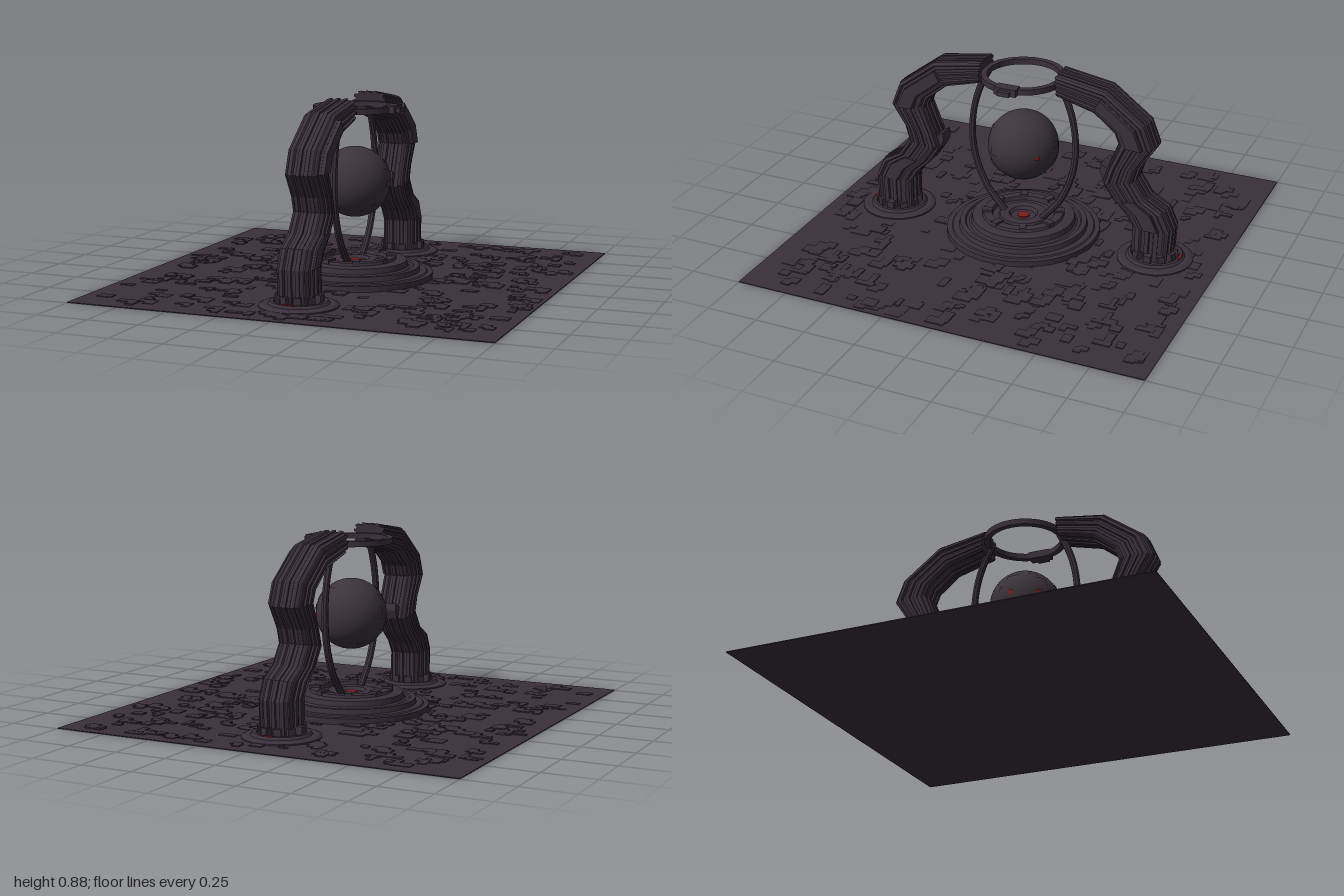
import * as THREE from 'three';
import { mergeGeometries } from 'three/addons/utils/BufferGeometryUtils.js';

const mat = (name, color, extra = {}) => {
  const m = new THREE.MeshStandardMaterial({ color, ...extra });
  m.name = name;
  return m;
};

function rng(seed) {
  return () => (seed = (seed * 16807) % 2147483647) / 2147483647;
}

// Arm cross-sections from foot to tip: outer z, y, inner z, y
const ARM = [
  [0.77, 0.0, 0.58, 0.0], [0.78, 0.18, 0.58, 0.18], [0.74, 0.27, 0.545, 0.235],
  [0.65, 0.32, 0.48, 0.3], [0.59, 0.41, 0.425, 0.38], [0.61, 0.48, 0.45, 0.46],
  [0.68, 0.585, 0.5, 0.59], [0.635, 0.7, 0.48, 0.64], [0.44, 0.845, 0.38, 0.72], [0.19, 0.885, 0.2, 0.77],
];

// Sweep a profile [x, t] (t: 0 outer side, 1 inner side) through cross-sections
function loft(sections, profile, s) {
  const pos = [], n = profile.length;
  const at = (i, j) => {
    const [oz, oy, iz, iy] = sections[i], [x, t] = profile[j % n];
    return [x, oy + (iy - oy) * t, s * (oz + (iz - oz) * t)];
  };
  const middle = (i) => {
    const [oz, oy, iz, iy] = sections[i];
    const x = profile.reduce((a, p) => a + p[0], 0) / n;
    return [x, (oy + iy) / 2, s * (oz + iz) / 2];
  };
  const tri = (a, b, c) => (s > 0 ? pos.push(...a, ...b, ...c) : pos.push(...a, ...c, ...b));
  const last = sections.length - 1;
  for (let j = 0; j < n; j++) {
    for (let i = 0; i < last; i++) {
      tri(at(i, j), at(i, j + 1), at(i + 1, j + 1));
      tri(at(i, j), at(i + 1, j + 1), at(i + 1, j));
    }
    tri(middle(0), at(0, j + 1), at(0, j));
    tri(middle(last), at(last, j), at(last, j + 1));
  }
  const g = new THREE.BufferGeometry();
  g.setAttribute('position', new THREE.Float32BufferAttribute(pos, 3));
  g.computeVertexNormals();
  return g;
}

// Rounded square outline with lengthwise ridges
function ridgedProfile() {
  const pts = [], teeth = 14;
  for (let k = 0; k < teeth; k++) {
    [[0.05, 1], [0.5, 1], [0.55, 0.88], [0.98, 0.88]].forEach(([f, r]) => {
      const a = ((k + f) / teeth) * Math.PI * 2, c = Math.cos(a), d = Math.sin(a);
      const q = r / Math.pow(c ** 4 + d ** 4, 0.25);
      pts.push([0.084 * q * c, 0.5 + 0.5 * q * d]);
    });
  }
  return pts;
}

export function createModel() {
  const root = new THREE.Group();
  const stone = mat('dark plum metal', 0x3a303a, { flatShading: true });
  const smooth = mat('smooth plum metal', 0x3b343a, { side: THREE.DoubleSide });
  const red = mat('dim red light', 0x7a1e22, { side: THREE.DoubleSide });
  const add = (name, geo, material, parent = root, x = 0, y = 0, z = 0) => {
    const m = new THREE.Mesh(geo, material);
    m.name = name;
    m.position.set(x, y, z);
    parent.add(m);
    return m;
  };

  // Ground sheet with scattered low plates
  add('ground', new THREE.BoxGeometry(2, 0.004, 2), stone, root, 0, 0.002, 0);
  const rand = rng(77), plates = [];
  for (let i = 0; i < 330; i++) {
    const x = (rand() - 0.5) * 1.86, z = (rand() - 0.5) * 1.86, h = 0.006 + rand() * 0.004;
    const w = 0.025 + rand() * 0.07, d = 0.02 + rand() * 0.05;
    const plate = (pw, pd, px, pz) =>
      plates.push(new THREE.BoxGeometry(pw, h, pd).translate(px, h / 2, pz));
    plate(w, d, x, z);
    if (rand() > 0.4) plate(d, w, x + w / 2, z + d / 2);
  }
  add('groundPlates', mergeGeometries(plates), stone);

  // Stepped round pedestal with concentric ridges and a sunken middle
  const steps = [
    [0.375, 0], [0.375, 0.032], [0.35, 0.032], [0.345, 0.038], [0.315, 0.038], [0.31, 0.062],
    [0.285, 0.062], [0.28, 0.054], [0.265, 0.054], [0.255, 0.062], [0.25, 0.088], [0.225, 0.092],
    [0.2, 0.092], [0.195, 0.105], [0.155, 0.105], [0.15, 0.085], [0.12, 0.085], [0.115, 0.095],
    [0.07, 0.095], [0.06, 0.08], [0, 0.08],
  ].map(([r, y]) => new THREE.Vector2(r, y));
  add('pedestal', new THREE.LatheGeometry(steps, 48), stone);
  add('pedestalLight', new THREE.CylinderGeometry(0.03, 0.03, 0.008, 16), red, root, 0, 0.084, 0);
  for (let i = 0; i < 8; i++) {
    const a = ((i + 0.5) / 8) * Math.PI * 2;
    const b = add('pedestalBlock', new THREE.BoxGeometry(0.05, 0.03, 0.035), stone, root,
      Math.cos(a) * 0.175, 0.1, Math.sin(a) * 0.175);
    b.rotation.y = -a;
  }

  // Floating sphere with panels and small lights
  const orb = new THREE.Group();
  orb.name = 'orb';
  orb.position.y = 0.467;
  root.add(orb);
  add('orbBody', new THREE.SphereGeometry(0.17, 48, 32), smooth, orb);
  const patch = (name, r, phi, theta, w, h, material) =>
    add(name, new THREE.SphereGeometry(r, 8, 6, phi - w / 2, w, theta - h / 2, h), material, orb);
  for (let i = 0; i < 20; i++) {
    const phi = i * 2.4, theta = 0.75 + 1.6 * rand(), w = 0.25 + rand() * 0.3;
    patch('orbPanel', 0.1735, phi, theta, w, 0.12 + rand() * 0.2, smooth);
  }
  patch('orbPanel', 0.1735, Math.PI, 1.25, 0.55, 0.17, smooth);
  patch('orbPanel', 0.1735, Math.PI - 0.2, 1.42, 0.22, 0.18, smooth);
  [0, Math.PI / 4, Math.PI * 1.25].forEach((p) => patch('orbLight', 0.1755, p, 1.57, 0.14, 0.12, red));

  // Ring over the sphere with a clasp block
  const ring = new THREE.Shape().absarc(0, 0, 0.2, 0, Math.PI * 2);
  ring.holes.push(new THREE.Path().absarc(0, 0, 0.172, 0, Math.PI * 2));
  const ringGeo = new THREE.ExtrudeGeometry(ring, { depth: 0.028, bevelEnabled: false, curveSegments: 24 });
  add('topRing', ringGeo.rotateX(-Math.PI / 2), stone, root, 0, 0.808, 0);
  add('ringClasp', new THREE.BoxGeometry(0.055, 0.036, 0.11), stone, root, 0.19, 0.824, 0);
  add('ringClaspTip', new THREE.BoxGeometry(0.05, 0.022, 0.06), stone, root, 0.213, 0.82, 0);

  const profile = ridgedProfile();
  for (const s of [1, -1]) {
    const side = new THREE.Group();
    side.name = s > 0 ? 'frontArm' : 'backArm';
    root.add(side);

    // Bent ridged arm, side plating and inner spur
    add('arm', loft(ARM, profile, s), stone, side);
    add('armPlate', loft(ARM.slice(6, 9), [[0.1, 0.3], [0.1, 0.7], [0.05, 0.75], [0.05, 0.25]], s), stone, side);
    add('armLowerPlate', loft(ARM.slice(1, 4), [[0.09, 0.3], [0.09, 0.65], [0.05, 0.7], [0.05, 0.25]], s), stone, side);
    const spur = [[0.5, 0.38, 0.425, 0.38], [0.48, 0.42, 0.408, 0.425], [0.425, 0.455, 0.413, 0.462]];
    add('armSpur', loft(spur, [[0.04, 0], [0.04, 1], [-0.04, 1], [-0.04, 0]], s), stone, side);

    // Round foot
    const foot = [[0.182, 0], [0.182, 0.01], [0.165, 0.018], [0.14, 0.018], [0.13, 0.03], [0.115, 0.03],
      [0.11, 0.022], [0, 0.022]].map(([r, y]) => new THREE.Vector2(r, y));
    add('foot', new THREE.LatheGeometry(foot, 32), stone, side, 0, 0, s * 0.685);
    for (let i = 0; i < 10; i++) {
      const a = (i / 10) * Math.PI * 2;
      const b = add('footClamp', new THREE.BoxGeometry(0.035, 0.06, 0.035), stone, side,
        Math.cos(a) * 0.092, 0.03, s * 0.68 + Math.sin(a) * 0.095);
      b.rotation.y = -a;
    }
    add('footLight', new THREE.BoxGeometry(0.05, 0.008, 0.012), red, side, 0, 0.03, s * 0.808);

    // Curved rib from pedestal to ring
    const curve = new THREE.CatmullRomCurve3([[0.1, 0.09], [0.19, 0.2], [0.25, 0.34], [0.27, 0.48],
      [0.255, 0.63], [0.22, 0.74], [0.18, 0.82]].map(([z, y]) => new THREE.Vector3(0, y, s * z)));
    add('rib', new THREE.TubeGeometry(curve, 24, 0.017, 8), stone, side);
  }
  return root;
}
